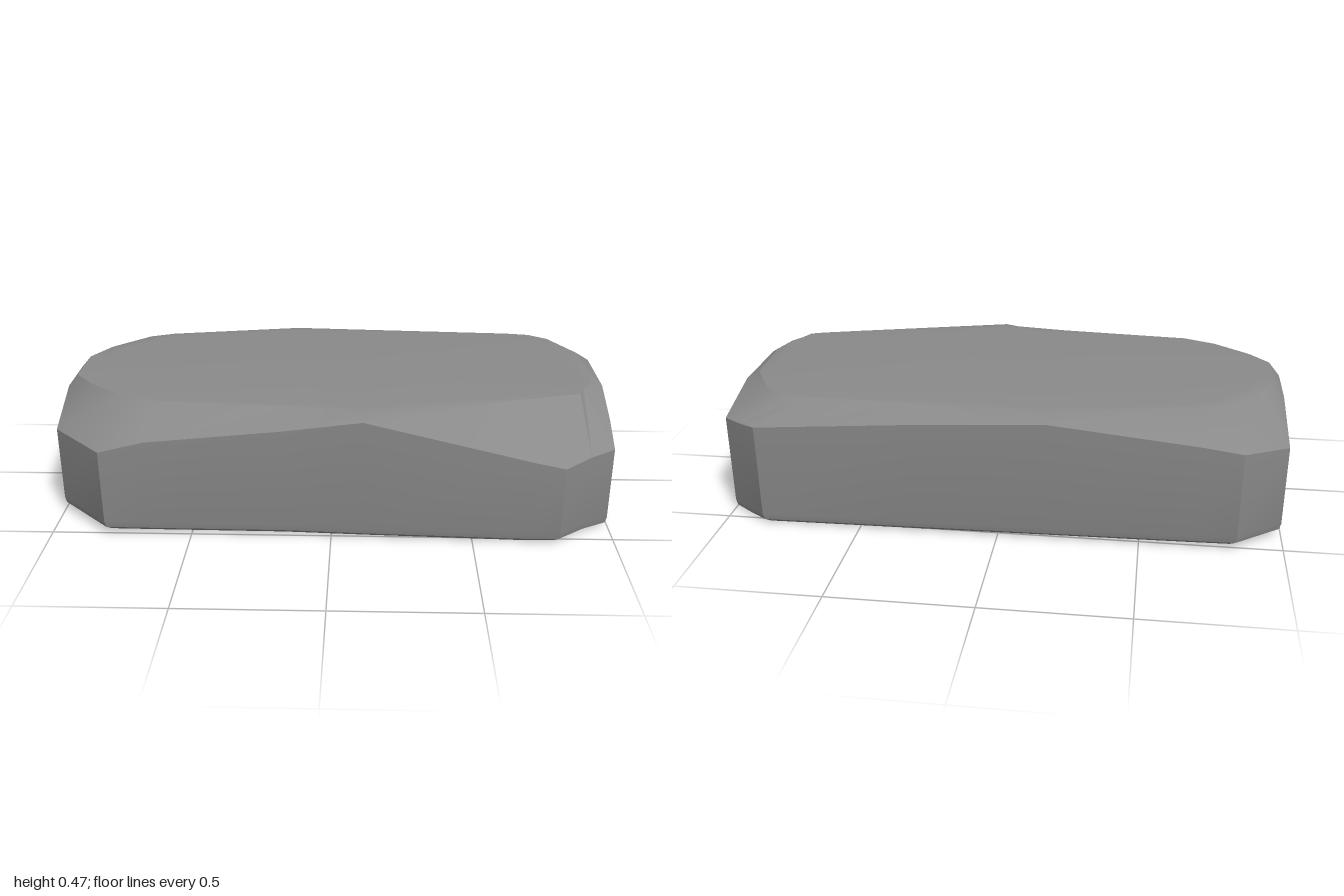
import * as THREE from 'three';
import { toCreasedNormals } from 'three/addons/utils/BufferGeometryUtils.js';

// Outline stations, counterclockwise from above:
// wall x, wall z, height of the wall's upper edge, top face x, top face z
const STATIONS = [
  [-0.81, 0.525, 0.325, -0.76, 0.33],
  [-0.65, 0.525, 0.365, -0.64, 0.385],
  [-0.17, 0.52, 0.41, -0.15, 0.43],
  [0.11, 0.53, 0.45, 0.11, 0.47],
  [0.7, 0.545, 0.315, 0.7, 0.32],
  [0.81, 0.54, 0.29, 0.84, 0.28],
  [0.91, 0.455, 0.298, 0.89, 0.26],
  [1, 0.4, 0.305, 0.91, 0.21],
  [1, 0.28, 0.37, 0.94, 0.16],
  [1, 0.1, 0.435, 0.965, 0.06],
  [1, -0.2, 0.432, 0.95, -0.2],
  [1, -0.44, 0.367, 0.86, -0.37],
  [0.93, -0.495, 0.372, 0.79, -0.42],
  [0.86, -0.545, 0.38, 0.7, -0.435],
  [0.3, -0.543, 0.42, 0.3, -0.455],
  [-0.17, -0.54, 0.445, -0.17, -0.48],
  [-0.7, -0.537, 0.39, -0.68, -0.38],
  [-0.84, -0.535, 0.37, -0.77, -0.34],
  [-1, -0.41, 0.35, -0.9, -0.2],
  [-1, -0.1, 0.42, -0.96, -0.08],
  [-1, 0.12, 0.42, -0.96, 0.13],
  [-1, 0.33, 0.33, -0.89, 0.22],
];

const bottomY = (x) => 0.01 - 0.01 * x;
const topY = (x) => 0.468 - 0.003 * x;

// Stacks rings of the outline into a closed stone
function stoneGeometry() {
  const n = STATIONS.length;
  const rings = [
    STATIONS.map(([x, z]) => [x * 0.97, bottomY(x), z * 0.95]),
    STATIONS.map(([x, z]) => [x * 0.992, bottomY(x) + 0.012, z * 0.975]),
    STATIONS.map(([x, z]) => [x * 0.997, bottomY(x) + 0.035, z * 0.985]),
    STATIONS.map(([x, z, y]) => [x, y, z]),
    STATIONS.map(([x, z, y, tx, tz]) => [tx, topY(tx) - 0.003, tz]),
    STATIONS.map(([x, z, y, tx, tz]) => [tx * 0.94, topY(tx), tz * 0.92]),
  ];
  const points = rings.flat();
  points.push([0, bottomY(0), 0], [0, topY(0), 0]);
  const bottomCentre = rings.length * n;
  const topCentre = bottomCentre + 1;
  const lastRing = (rings.length - 1) * n;

  const index = [];
  for (let i = 0; i < n; i++) {
    const j = (i + 1) % n;
    for (let r = 0; r < lastRing; r += n) {
      index.push(r + i, r + j, r + n + j, r + i, r + n + j, r + n + i);
    }
    index.push(bottomCentre, j, i);
    index.push(topCentre, lastRing + i, lastRing + j);
  }

  const geometry = new THREE.BufferGeometry();
  geometry.setAttribute('position', new THREE.Float32BufferAttribute(points.flat(), 3));
  geometry.setIndex(index);
  return toCreasedNormals(geometry, 0.48);
}

export function createModel() {
  const stoneGrey = new THREE.MeshStandardMaterial({ color: 0x8a8a8a });
  stoneGrey.name = 'stone grey';

  const stone = new THREE.Mesh(stoneGeometry(), stoneGrey);
  stone.name = 'stoneBlock';

  const model = new THREE.Group();
  model.name = 'stone';
  model.add(stone);
  return model;
}
